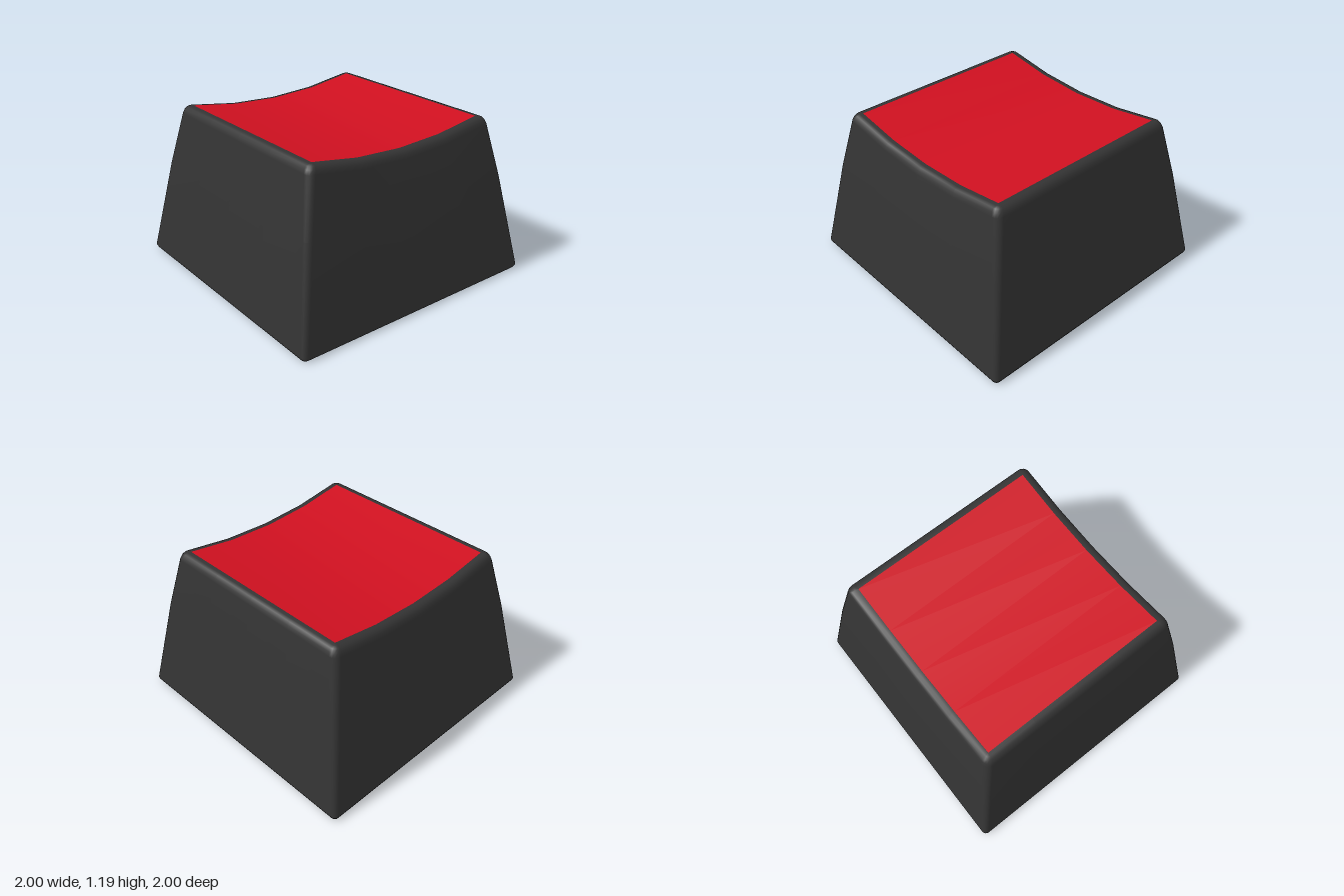
import * as THREE from 'three';

const TOP = 1.185, INNER = 0.72, DIP = 0.075;
// Scoop across the width: u runs -1..1 from left rim to right rim
const dish = u => DIP * (1 - u * u);

// Points of a rounded square ring; u tells how far across the scoop each lies
function ringPoints(half, r) {
  const pts = [], s = half - r;
  for (let side = 0; side < 4; side++) {
    const a = side * Math.PI / 2, c = Math.round(Math.cos(a)), d = Math.round(Math.sin(a));
    const add = (px, pz, along) => {
      const x = px * c - pz * d, z = px * d + pz * c;
      const across = side % 2 ? -along * d : c;
      pts.push({ x, z, u: across });
    };
    // Straight run along the side
    for (const t of [-0.5, 0, 0.5]) add(half, t * s, t);
    // Rounded corner at its end
    for (let k = 0; k <= 4; k++) {
      const q = k * Math.PI / 8;
      add(s + r * Math.cos(q), s + r * Math.sin(q), 1);
    }
  }
  return pts;
}

function bodyGeometry() {
  // half width, corner radius, height, share of the scoop
  const profile = [
    [0.97, 0.02, 0, 0], [0.99, 0.03, 0.008, 0], [1, 0.035, 0.03, 0],
    [0.874, 0.045, 0.74, 0], [0.793, 0.05, 1.13, 1], [0.783, 0.05, 1.158, 1],
    [0.767, 0.04, 1.177, 1], [0.745, 0.02, TOP, 1], [INNER, 0, TOP, 1],
  ];
  const pos = [], idx = [];
  let n = 0;
  for (const [half, r, y, w] of profile) {
    const ring = ringPoints(half, r);
    n = ring.length;
    for (const p of ring) pos.push(p.x, y - w * dish(p.u), p.z);
  }
  for (let j = 0; j < profile.length - 1; j++) {
    for (let i = 0; i < n; i++) {
      const a = j * n + i, b = j * n + (i + 1) % n;
      idx.push(a, a + n, b, b, a + n, b + n);
    }
  }
  // Flat underside
  const centre = pos.length / 3;
  pos.push(0, 0, 0);
  for (let i = 0; i < n; i++) idx.push(centre, i, (i + 1) % n);
  const g = new THREE.BufferGeometry();
  g.setAttribute('position', new THREE.Float32BufferAttribute(pos, 3));
  g.setIndex(idx);
  g.computeVertexNormals();
  return g;
}

function topGeometry() {
  const g = new THREE.PlaneGeometry(2 * INNER, 2 * INNER, 4, 1).rotateX(-Math.PI / 2);
  const p = g.attributes.position;
  for (let i = 0; i < p.count; i++) p.setY(i, TOP - dish(p.getX(i) / INNER));
  g.computeVertexNormals();
  return g;
}

export function createModel() {
  const group = new THREE.Group();
  group.name = 'keycap';
  const add = (name, geometry, color) => {
    const mesh = new THREE.Mesh(geometry, new THREE.MeshStandardMaterial({ color }));
    mesh.name = name;
    group.add(mesh);
  };
  // Tapered shell with soft edges
  add('body', bodyGeometry(), 0x333333);
  // Scooped coloured face
  add('topFace', topGeometry(), 0xd01020);
  return group;
}
